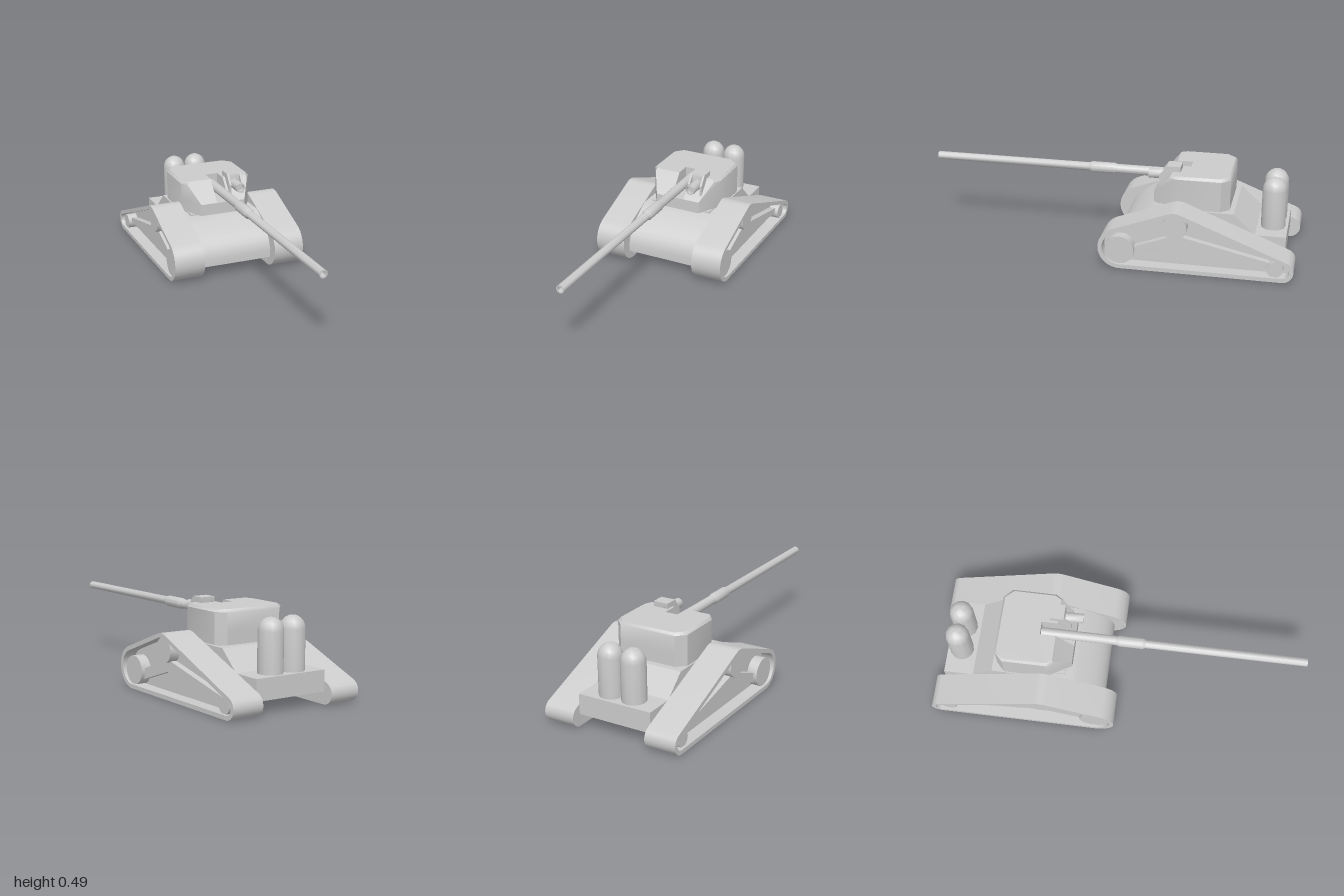
import * as THREE from 'three';
import { toCreasedNormals } from 'three/addons/utils/BufferGeometryUtils.js';

const material = new THREE.MeshStandardMaterial({ color: 0xcccccc });

function add(parent, name, geometry, crease = 0.6) {
  const mesh = new THREE.Mesh(toCreasedNormals(geometry, crease), material);
  mesh.name = name;
  parent.add(mesh);
  return mesh;
}

const polygon = (pts) => new THREE.Shape(pts.map(([z, y]) => new THREE.Vector2(z, y)));

// Extrudes a side profile drawn in (z, y) across the span x0..x1
function across(shape, x0, x1) {
  const g = new THREE.ExtrudeGeometry(shape, { depth: x1 - x0, bevelEnabled: false, curveSegments: 8 });
  return g.rotateY(-Math.PI / 2).translate(x1, 0, 0);
}

// Span on either side of the model
const span = (s, a, b) => (s > 0 ? [a, b] : [-b, -a]);

// Belt outline: tangents around three rollers [z, y, radius]
const rollers = [[-0.1, 0.11, 0.112], [-0.385, 0.24, 0.09], [-0.943, 0.057, 0.057]];
function beltOutline(path, inset) {
  const n = rollers.length;
  const normal = (i) => {
    const [z1, y1, r1] = rollers[i % n], [z2, y2, r2] = rollers[(i + 1) % n];
    return Math.atan2(y2 - y1, z2 - z1) - Math.acos((r1 - r2) / Math.hypot(z2 - z1, y2 - y1));
  };
  rollers.forEach(([z, y, r], i) => path.absarc(z, y, r - inset, normal(i + n - 1), normal(i), false));
  path.closePath();
  return path;
}

function track(s) {
  const g = new THREE.Group();
  g.name = s > 0 ? 'leftTrack' : 'rightTrack';
  const rim = beltOutline(new THREE.Shape(), 0);
  rim.holes.push(beltOutline(new THREE.Path(), 0.022));
  add(g, 'belt', across(rim, ...span(s, 0.208, 0.38)));
  add(g, 'trackPanel', across(beltOutline(new THREE.Shape(), 0.021), ...span(s, 0.209, 0.31)));
  // Chevron beam between the wheels
  const beam = polygon([[-0.12, 0.093], [-0.39, 0.195], [-0.9, 0.083], [-0.9, 0.05], [-0.39, 0.13], [-0.12, 0.04]]);
  add(g, 'suspensionBeam', across(beam, ...span(s, 0.3, 0.345)), 0.1);
  for (const [z, y, r] of [[-0.1, 0.095, 0.077], [-0.385, 0.242, 0.065], [-0.905, 0.06, 0.042]]) {
    const wheel = new THREE.CylinderGeometry(r, r, 0.065, 16).rotateZ(Math.PI / 2);
    add(g, 'wheel', wheel.translate(s * 0.3325, y, z));
  }
  return g;
}

// Octagonal turret ring with a gun slot in its front edge
function turretRing({ y, front, frontX, sideX, sideZ, rearZ, rearX, backZ, slot }) {
  const half = [[0.036, slot], [0.036, front], [frontX, front], [sideX, sideZ], [sideX, rearZ], [rearX, backZ]];
  const mirrored = half.map(([x, z]) => [-x, z]).reverse();
  return [...half, ...mirrored].map(([x, z]) => new THREE.Vector3(x, y, z));
}

// Joins rings into walls and closes the top
function loft(rings) {
  const pos = [];
  const tri = (a, b, c) => {
    if (new THREE.Triangle(a, b, c).getArea() > 1e-7) for (const p of [a, b, c]) pos.push(p.x, p.y, p.z);
  };
  for (let k = 0; k + 1 < rings.length; k++) {
    const a = rings[k], b = rings[k + 1];
    a.forEach((p, i) => {
      const j = (i + 1) % a.length;
      tri(p, a[j], b[j]);
      tri(p, b[j], b[i]);
    });
  }
  const top = rings[rings.length - 1];
  const faces = THREE.ShapeUtils.triangulateShape(top.map((p) => new THREE.Vector2(p.x, -p.z)), []);
  for (const [a, b, c] of faces) tri(top[a], top[b], top[c]);
  const g = new THREE.BufferGeometry();
  g.setAttribute('position', new THREE.Float32BufferAttribute(pos, 3));
  return g;
}

// Revolves [radius, height] points; forward turns the axis to +z
function revolve(pts, sides, forward) {
  const g = new THREE.LatheGeometry(pts.map(([r, h]) => new THREE.Vector2(r, h)), sides);
  return forward ? g.rotateX(Math.PI / 2) : g;
}

export function createModel() {
  const model = new THREE.Group();
  model.name = 'tank';

  // Hull with curved nose and low rear deck
  const hull = new THREE.Shape();
  hull.moveTo(-0.055, 0.055);
  hull.lineTo(-0.055, 0.1);
  hull.bezierCurveTo(-0.065, 0.18, -0.14, 0.23, -0.24, 0.28);
  for (const [z, y] of [[-0.67, 0.28], [-0.785, 0.175], [-0.945, 0.175], [-0.945, 0.065], [-0.9, 0.055]]) hull.lineTo(z, y);
  hull.closePath();
  add(model, 'hull', across(hull, -0.208, 0.208));

  model.add(track(1), track(-1));

  // Turret
  const turret = new THREE.Group();
  turret.name = 'turret';
  model.add(turret);
  const base = { front: -0.24, frontX: 0.13, sideX: 0.205, sideZ: -0.37, rearZ: -0.6, rearX: 0.16, backZ: -0.645 };
  const shoulder = { ...base, front: -0.325, frontX: 0.18, sideZ: -0.365 };
  const roof = { ...base, front: -0.335, frontX: 0.175, sideX: 0.193, sideZ: -0.37, rearZ: -0.59, rearX: 0.152, backZ: -0.635 };
  add(turret, 'turretShell', loft([
    turretRing({ ...base, y: 0.285, slot: base.front }),
    turretRing({ ...base, y: 0.35, slot: base.front }),
    turretRing({ ...base, y: 0.35, slot: -0.42 }),
    turretRing({ ...shoulder, y: 0.448, slot: -0.42 }),
    turretRing({ ...roof, y: 0.462, slot: -0.42 }),
  ]), 0.7);
  const underside = polygon([[-0.24, 0.285], [-0.645, 0.285], [-0.645, 0.287], [-0.24, 0.287]]);
  add(turret, 'turretFloor', across(underside, -0.13, 0.13));
  add(turret, 'turretPlinth', new THREE.BoxGeometry(0.36, 0.015, 0.33).translate(0, 0.28, -0.44));

  // Gun with sleeve and hollow muzzle
  const barrel = [[0, -0.42], [0.027, -0.42], [0.025, -0.015], [0.03, 0], [0.03, 0.125], [0.023, 0.14],
    [0.022, 1], [0.016, 1], [0.016, 0.93], [0, 0.93]];
  add(turret, 'gunBarrel', revolve(barrel, 12, true)).position.set(0, 0.405, 0);

  // Sight: hooded housing around a short tube
  const sight = new THREE.Group();
  sight.name = 'sight';
  turret.add(sight);
  const cheek = polygon([[-0.265, 0.38], [-0.265, 0.435], [-0.305, 0.49], [-0.378, 0.49], [-0.378, 0.44], [-0.34, 0.38]]);
  add(sight, 'sightCheek', across(cheek, 0.05, 0.061));
  add(sight, 'sightCheek', across(cheek, 0.123, 0.134));
  const core = polygon([[-0.3, 0.38], [-0.3, 0.477], [-0.305, 0.49], [-0.378, 0.49], [-0.378, 0.44], [-0.34, 0.38]]);
  add(sight, 'sightBody', across(core, 0.06, 0.124));
  const tube = [[0, -0.32], [0.028, -0.32], [0.028, -0.205], [0.022, -0.205], [0.022, -0.23], [0, -0.23]];
  add(sight, 'sightTube', revolve(tube, 8, true), 0.9).position.set(0.092, 0.432, 0);

  // Domed canisters on the rear deck
  const dome = [[0, 0.17], [0.064, 0.17]];
  for (let i = 0; i <= 5; i++) {
    const a = (i / 5) * Math.PI / 2;
    dome.push([0.064 * Math.cos(a), 0.382 + 0.066 * Math.sin(a)]);
  }
  for (const s of [-1, 1]) add(model, 'canister', revolve(dome, 12), 0.9).position.set(s * 0.066, 0, -0.867);

  return model;
}
